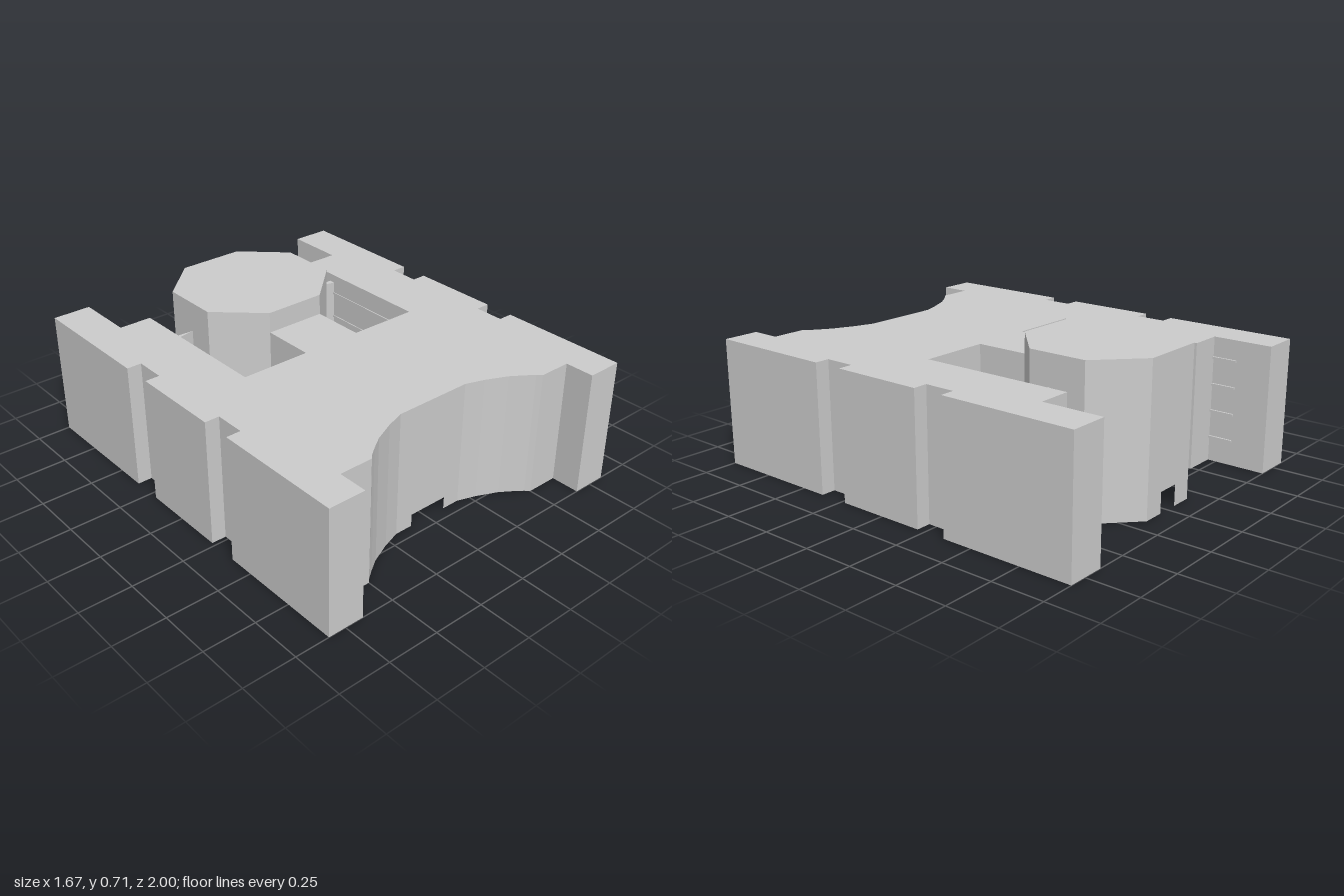
import * as THREE from 'three';

const SLAB = 0.15, ROOF = 0.61, TOP = 0.71;
const grey = new THREE.MeshStandardMaterial({ color: 0xcccccc, flatShading: true, side: THREE.DoubleSide });

export function createModel() {
  const model = new THREE.Group();
  const add = (name, geo, x = 0, y = 0, z = 0) => {
    const mesh = new THREE.Mesh(geo, grey);
    mesh.name = name;
    mesh.position.set(x, y, z);
    model.add(mesh);
    return mesh;
  };
  const mirror = pts => pts.map(([x, z]) => [-x, z]);

  // Solid block over a plan outline given as [x, z]
  const block = (name, pts, y0, y1) => {
    const shape = new THREE.Shape(pts.map(([x, z]) => new THREE.Vector2(x, -z)));
    const geo = new THREE.ExtrudeGeometry(shape, { depth: y1 - y0, bevelEnabled: false });
    return add(name, geo.rotateX(-Math.PI / 2), 0, y0);
  };

  // Thin upright wall following a plan path
  const wall = (name, pts, y0, y1) => {
    const v = [];
    for (let i = 0; i < pts.length - 1; i++) {
      const [ax, az] = pts[i], [bx, bz] = pts[i + 1];
      v.push(ax, y0, az, bx, y0, bz, bx, y1, bz, ax, y0, az, bx, y1, bz, ax, y1, az);
    }
    const geo = new THREE.BufferGeometry();
    geo.setAttribute('position', new THREE.Float32BufferAttribute(v, 3));
    geo.computeVertexNormals();
    return add(name, geo);
  };

  // Upright panel facing z with a doorway cut in its foot
  const doorPanel = (name, half, height, doorHalf, doorHeight, z) => {
    const shape = new THREE.Shape([
      [-half, 0], [-doorHalf, 0], [-doorHalf, doorHeight], [doorHalf, doorHeight],
      [doorHalf, 0], [half, 0], [half, height], [-half, height],
    ].map(p => new THREE.Vector2(...p)));
    return add(name, new THREE.ShapeGeometry(shape), 0, 0, z);
  };

  // Left half of the plan, from the curved front round to the rear court
  const half = [
    [0.19, 0.695], [0.28, 0.725], [0.38, 0.77], [0.44, 0.81], [0.48, 0.84], [0.5, 0.86],
    [0.66, 0.86], [0.66, 1], [0.835, 1],
    [0.835, 0.375], [0.765, 0.375], [0.765, 0.23], [0.835, 0.23],
    [0.835, -0.21], [0.765, -0.21], [0.765, -0.355], [0.835, -0.355],
    [0.835, -1], [0.65, -1], [0.65, -0.71], [0.49, -0.71], [0.49, 0.04], [0.15, 0.04],
  ];
  block('mainBuilding', [...half, ...mirror(half).reverse()], SLAB, ROOF);
  wall('groundWallLeft', half, 0, SLAB);
  wall('groundWallRight', mirror(half), 0, SLAB);
  doorPanel('frontEntrance', 0.19, SLAB, 0.1, 0.06, 0.695);

  // Link between the building and the hall
  for (const s of [1, -1]) wall('linkWall', [[s * 0.15, 0.04], [s * 0.15, -0.22]], 0, ROOF);
  add('linkRoof', new THREE.BoxGeometry(0.3, 0.02, 0.26), 0, ROOF - 0.01, -0.09);

  // Eight-sided hall, hollow inside
  const side = [[0.16, -0.89], [0.36, -0.7], [0.36, -0.415], [0.15, -0.22]];
  block('hallRoof', [...side, ...mirror(side).reverse()], TOP - 0.02, TOP);
  wall('hallWallLeft', side, 0, TOP - 0.02);
  wall('hallWallRight', mirror(side), 0, TOP - 0.02);
  wall('hallLintel', [[-0.15, -0.22], [0.15, -0.22]], ROOF - 0.02, TOP - 0.02);
  doorPanel('hallRearWall', 0.16, TOP - 0.02, 0.055, 0.1, -0.89);

  // Fine entrance steps, then broad open treads up to the hall
  for (let i = 0; i < 9; i++) {
    add('entranceStep', new THREE.BoxGeometry(0.16, 0.008, 0.022), 0, 0.004 + i * 0.008, 0.13 - i * 0.02);
  }
  for (let i = 0; i < 5; i++) {
    add('hallTread', new THREE.BoxGeometry(0.2, 0.012, 0.05), 0, 0.1 + i * 0.05, -0.05 - i * 0.04);
  }

  for (const s of [1, -1]) {
    // Thin tapering fins reaching from the wings towards the hall
    const fin = [[0.49, -0.51], [0.49, -0.54], [0.37, -0.532]];
    block('courtFin', s > 0 ? fin : mirror(fin), 0.13, 0.57);
    // Narrow window ledges on the inner wing walls
    for (let i = 0; i < 4; i++) {
      const y = 0.12 + i * 0.13;
      add('rearLedge', new THREE.BoxGeometry(0.02, 0.01, 0.12), s * 0.65, y, -0.77);
      add('courtLedge', new THREE.BoxGeometry(0.01, 0.01, 0.66), s * 0.49, y, -0.36);
    }
  }
  return model;
}
